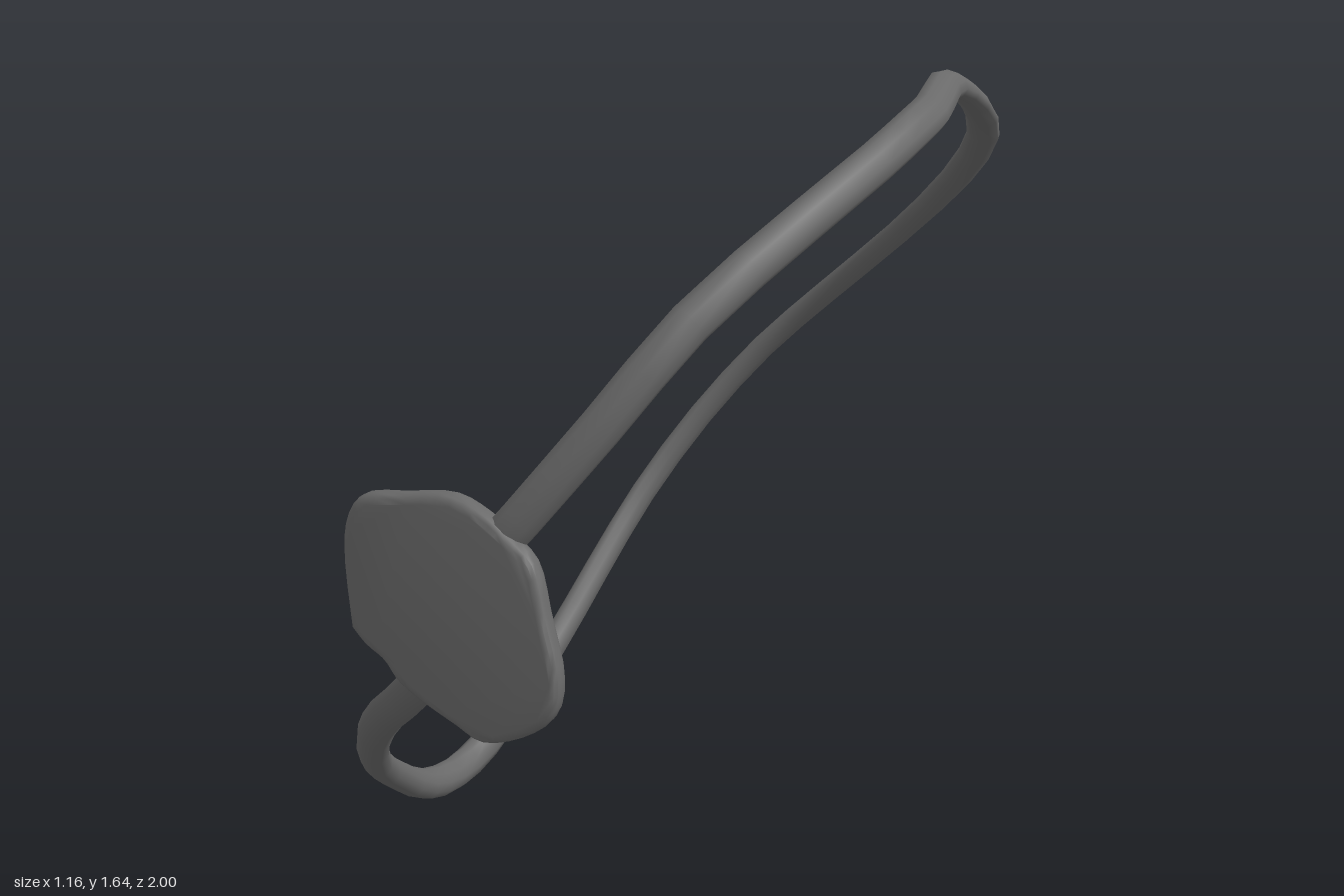
import * as THREE from 'three';
import { toCreasedNormals } from 'three/addons/utils/BufferGeometryUtils.js';

const material = new THREE.MeshStandardMaterial({ color: 0x6a6a6a });

// Centre line of the strap: from the patch over the top, round the back, and under to the patch
const strapPath = [
  [-0.09, 0.83, 0.914], [-0.02, 0.93, 0.922], [0.04, 1.00, 0.922], [0.165, 1.155, 0.88],
  [0.285, 1.315, 0.79], [0.42, 1.455, 0.60], [0.50, 1.535, 0.44], [0.538, 1.582, 0.31],
  [0.543, 1.598, 0.2], [0.52, 1.608, 0], [0.49, 1.603, -0.27], [0.505, 1.55, -0.45],
  [0.495, 1.46, -0.64], [0.41, 1.34, -0.80], [0.25, 1.18, -0.92], [0.06, 1.01, -0.967],
  [-0.10, 0.86, -0.963], [-0.25, 0.68, -0.907], [-0.37, 0.49, -0.80], [-0.43, 0.335, -0.62],
  [-0.47, 0.195, -0.40], [-0.525, 0.055, -0.13], [-0.547, 0.033, 0], [-0.547, 0.075, 0.15],
  [-0.525, 0.178, 0.32], [-0.48, 0.295, 0.49], [-0.385, 0.445, 0.67], [-0.29, 0.555, 0.79],
  [-0.185, 0.655, 0.88], [-0.14, 0.73, 0.905], [-0.09, 0.80, 0.917],
].map(p => new THREE.Vector3(...p));

// Flattened, slightly twisted band, splayed where it joins the patch
function strapGeometry() {
  const sides = 10, last = strapPath.length - 1, rings = last * 2;
  const curve = new THREE.CatmullRomCurve3(strapPath);
  const middle = new THREE.Vector3(0, 0.83, 0);
  const rise = THREE.MathUtils.smoothstep;
  const positions = [], index = [];
  for (let i = 0; i <= rings; i++) {
    const u = i / 2, p = curve.getPoint(i / rings), tangent = curve.getTangent(i / rings);
    const out = p.clone().sub(middle);
    out.addScaledVector(tangent, -out.dot(tangent)).normalize();
    const across = new THREE.Vector3().crossVectors(tangent, out);
    // The band rolls over as it passes round the back
    const twist = -0.85 * rise(u, 9, 15) * (1 - rise(u, 19, 24));
    out.applyAxisAngle(tangent, twist);
    across.applyAxisAngle(tangent, twist);
    const thicker = rise(u, 2, 4) * (1 - rise(u, 6, 9)) + rise(u, 15, 21) * (1 - rise(u, 24, 28));
    const atEnd = i === 0 || i === rings;
    const thin = atEnd ? 0.012 : 0.024 + 0.006 * thicker;
    const wide = atEnd ? 0.055 : 0.037;
    for (let j = 0; j < sides; j++) {
      const a = j / sides * Math.PI * 2;
      const v = p.clone().addScaledVector(out, Math.cos(a) * thin)
        .addScaledVector(across, Math.sin(a) * wide);
      positions.push(v.x, v.y, v.z);
      if (i < rings) {
        const k = (j + 1) % sides, r = i * sides, n = r + sides;
        index.push(r + j, r + k, n + j, r + k, n + k, n + j);
      }
    }
  }
  const g = new THREE.BufferGeometry();
  g.setAttribute('position', new THREE.Float32BufferAttribute(positions, 3));
  g.setIndex(index);
  g.computeVertexNormals();
  return g;
}

// Rounded, uneven pad, extruded thin and leaned to sit across the strap
function patchGeometry() {
  const outline = [
    [-0.30, 0.755], [-0.315, 0.87], [-0.31, 0.945], [-0.275, 0.993], [-0.19, 1.01], [-0.09, 1.025],
    [-0.02, 1.005], [0.03, 0.975], [0.08, 0.935], [0.105, 0.85], [0.13, 0.76], [0.12, 0.69],
    [0.06, 0.64], [-0.02, 0.612], [-0.08, 0.63], [-0.15, 0.655], [-0.20, 0.68], [-0.23, 0.71],
    [-0.27, 0.73],
  ].map(p => new THREE.Vector2(...p));
  const shape = new THREE.Shape().moveTo(outline[0].x, outline[0].y);
  shape.splineThru([...outline.slice(1), outline[0]]);
  const depth = 0.014, bevel = 0.016;
  const g = new THREE.ExtrudeGeometry(shape, {
    depth, curveSegments: 3, bevelThickness: bevel, bevelSize: bevel, bevelOffset: -bevel, bevelSegments: 3,
  });
  const pos = g.attributes.position;
  for (let i = 0; i < pos.count; i++) {
    const x = pos.getX(i), y = pos.getY(i);
    pos.setZ(i, pos.getZ(i) - depth / 2 + 1.002 + 0.247 * x - 0.076 * y);
  }
  return toCreasedNormals(g, 1);
}

export function createModel() {
  const model = new THREE.Group();
  model.name = 'eyePatch';
  for (const [name, geometry] of [['strap', strapGeometry()], ['patch', patchGeometry()]]) {
    const mesh = new THREE.Mesh(geometry, material);
    mesh.name = name;
    model.add(mesh);
  }
  return model;
}
